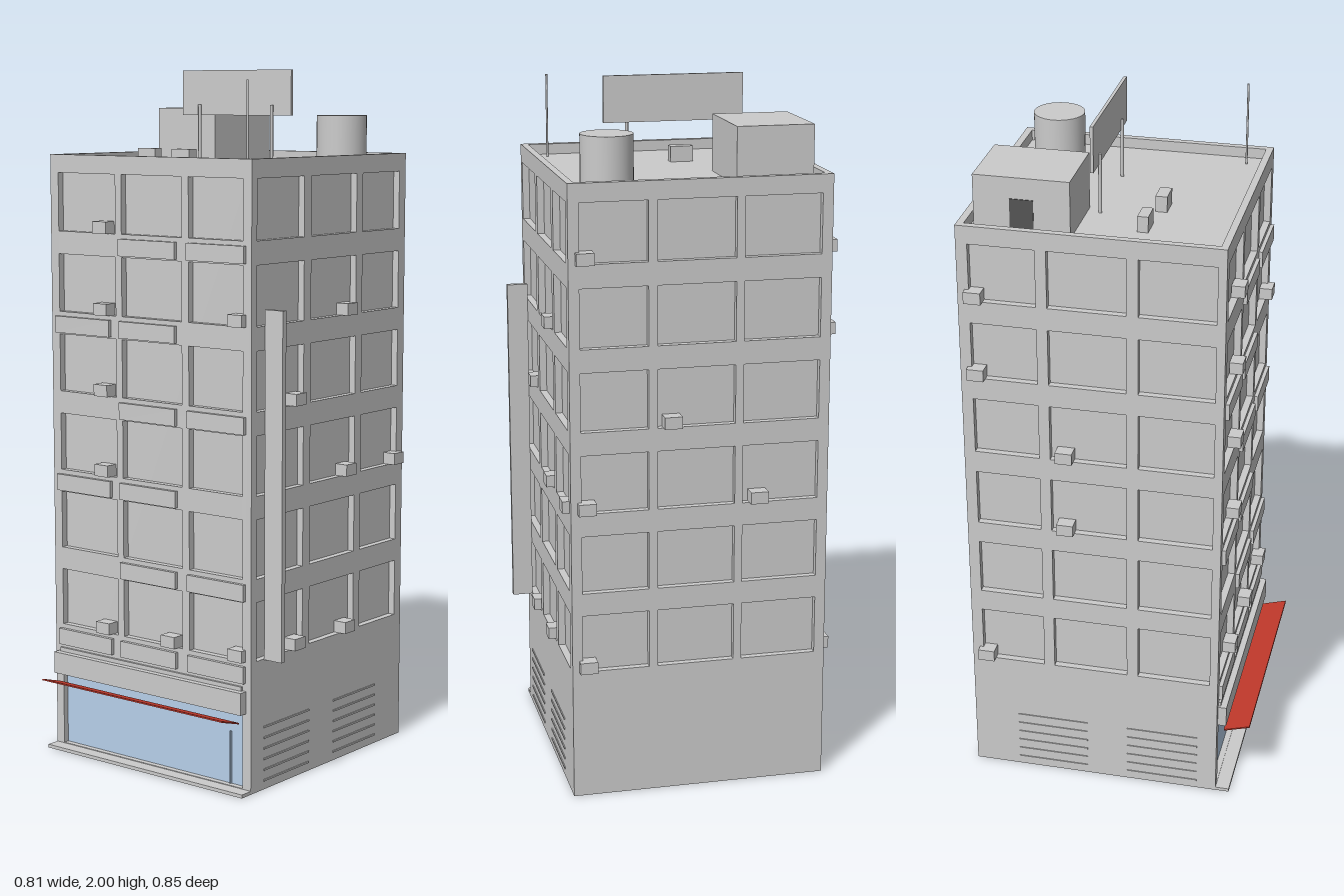
import * as THREE from 'three';

const grey = new THREE.MeshStandardMaterial({ color: 0xcccccc, flatShading: true });
const smooth = new THREE.MeshStandardMaterial({ color: 0xcccccc });
const glass = new THREE.MeshStandardMaterial({ color: 0xb7d0ea });
const red = new THREE.MeshStandardMaterial({ color: 0xc0392b });
const dark = new THREE.MeshStandardMaterial({ color: 0x555555 });

// Outer walls, wall thickness, heights
const X0 = -0.39, X1 = 0.345, Z0 = -0.405, Z1 = 0.33, T = 0.02;
const ROOF = 1.73, TOP = 1.76;
// Window spans: along x for front and back, along z for the sides
const COLS_X = [[-0.36, -0.143], [-0.12, 0.1], [0.125, 0.315]];
const COLS_Z = [[-0.373, -0.188], [-0.157, 0.06], [0.093, 0.306]];
const WIN_H = 0.167;
const sill = (row) => 1.541 - (row - 1) * 0.2327; // row 1 is the top floor

export function createModel() {
  const model = new THREE.Group();
  model.name = 'officeBuilding';

  const add = (name, geometry, material = grey, parent = model) => {
    const mesh = new THREE.Mesh(geometry, material);
    mesh.name = name;
    parent.add(mesh);
    return mesh;
  };
  // Box given by its limits on each axis
  const box = (name, [xa, xb], [ya, yb], [za, zb], material, parent) => {
    const mesh = add(name, new THREE.BoxGeometry(xb - xa, yb - ya, zb - za), material, parent);
    mesh.position.set((xa + xb) / 2, (ya + yb) / 2, (za + zb) / 2);
    return mesh;
  };
  const pole = (name, x, z, y0, y1, r, parent) => {
    const mesh = add(name, new THREE.CylinderGeometry(r, r, y1 - y0, 8), smooth, parent);
    mesh.position.set(x, (y0 + y1) / 2, z);
  };
  const group = (name) => {
    const g = new THREE.Group();
    g.name = name;
    model.add(g);
    return g;
  };

  // Core: window panes and roof floor
  box('core', [X0 + T, X1 - T], [0, ROOF], [Z0 + T, Z1 - T]);

  // Walls with window openings, rising past the roof as a parapet
  const rect = (path, a, b, c, d) =>
    path.moveTo(a, c).lineTo(b, c).lineTo(b, d).lineTo(a, d).closePath();
  const wall = (name, a, b, cols, shop) => {
    const shape = rect(new THREE.Shape(), a, b, 0, TOP);
    for (let row = 1; row <= 6; row++)
      for (const [c, d] of cols)
        shape.holes.push(rect(new THREE.Path(), c, d, sill(row), sill(row) + WIN_H));
    if (shop) shape.holes.push(rect(new THREE.Path(), -0.362, 0.316, 0.012, 0.23));
    return add(name, new THREE.ExtrudeGeometry(shape, { depth: T, bevelEnabled: false }));
  };
  wall('frontWall', X0, X1, COLS_X, true).position.z = Z1 - T;
  wall('backWall', X0, X1, COLS_X, false).position.z = Z0;
  for (const [name, x] of [['leftWall', X1], ['rightWall', X0 + T]]) {
    const side = wall(name, Z0 + T, Z1 - T, COLS_Z, false);
    side.rotation.y = -Math.PI / 2;
    side.position.x = x;
  }

  // Shopfront
  const shop = group('shopfront');
  box('shopGlass', [-0.362, 0.316], [0.012, 0.23], [Z1 - T, Z1 - T + 0.003], glass, shop);
  box('doorPost', [0.26, 0.264], [0.01, 0.165], [Z1 - T, Z1 - T + 0.008], glass, shop);
  box('doorStep', [X0, X1], [0, 0.01], [Z1, 0.37], grey, shop);
  box('fascia', [-0.376, 0.328], [0.23, 0.294], [Z1, 0.355], grey, shop);
  const awning = box('awning', [-0.362, 0.316], [0.213, 0.217], [0.345, 0.424], red, shop);
  awning.rotation.x = -0.29;

  // Panels under the front windows
  const panels = group('frontPanels');
  const panelCols = [[-0.368, -0.161], [-0.125, 0.082], [0.124, 0.326]];
  [[1, 2], [0, 1], [1, 2], [0, 1], [1, 2], [0, 1, 2]].forEach((cols, i) => {
    const y = sill(i + 1) - 0.013;
    for (const c of cols) box('windowPanel', panelCols[c], [y - 0.048, y], [Z1, 0.341], grey, panels);
  });
  box('ledge', [-0.368, 0.316], [0.294, 0.306], [Z1, 0.337], grey, panels);

  // Air conditioners as [row, column], columns running along +x or +z
  const units = group('airConditioners');
  const unitX = [-0.188, 0.059, 0.301], unitZ = [-0.36, -0.115, 0.129];
  const unit = (x, z, row, w, d) =>
    box('airConditioner', [x - w, x + w], [sill(row), sill(row) + 0.034], [z - d, z + d], grey, units);
  const front = [[1, 0], [2, 0], [3, 0], [4, 0], [6, 0], [6, 1], [2, 2], [6, 2]];
  const back = [[1, 2], [4, 2], [6, 2], [3, 1], [4, 0]];
  const left = [[2, 1], [4, 1], [6, 1], [3, 2], [6, 2], [4, 0]];
  const right = [[1, 0], [2, 0], [6, 0], [3, 1], [4, 1]];
  for (const [r, c] of front) unit(unitX[c], Z1, r, 0.025, 0.019);
  for (const [r, c] of back) unit(unitX[c], Z0, r, 0.025, 0.02);
  for (const [r, c] of left) unit(X1, unitZ[c], r, 0.02, 0.024);
  for (const [r, c] of right) unit(X0, unitZ[c], r, 0.02, 0.024);

  // Ventilation slats on both sides
  const vents = group('sideVents');
  for (const x of [X0, X1])
    for (const z of [[-0.272, -0.06], [0.06, 0.272]])
      for (let i = 0; i < 6; i++)
        box('ventSlat', [x - 0.003, x + 0.003], [0.024 + i * 0.031, 0.029 + i * 0.031], z, grey, vents);

  // Upright sign board on the left side
  box('sideSign', [X1, 0.405], [0.375, 1.353], [0.254, 0.27]);

  // Rooftop
  const roof = group('rooftop');
  box('stairHouse', [-0.345, -0.128], [ROOF, 1.89], [-0.365, -0.1], grey, roof);
  box('stairDoor', [-0.347, -0.343], [ROOF, 1.83], [-0.265, -0.2], dark, roof);
  box('roofUnit', [-0.262, -0.197], [ROOF, 1.775], [0.062, 0.092], grey, roof);
  box('roofUnit', [-0.117, -0.051], [ROOF, 1.775], [0.08, 0.113], grey, roof);
  const tank = add('waterTank', new THREE.CylinderGeometry(0.073, 0.073, 1.87 - ROOF, 32), smooth, roof);
  tank.position.set(0.21, (1.87 + ROOF) / 2, -0.27);
  box('billboard', [-0.222, 0.178], [1.87, 2], [-0.075, -0.066], grey, roof);
  for (const x of [-0.156, 0.11]) pole('billboardPost', x, -0.064, ROOF, 1.9, 0.005, roof);
  pole('antenna', 0.277, 0.262, ROOF, 1.97, 0.003, roof);

  return model;
}
